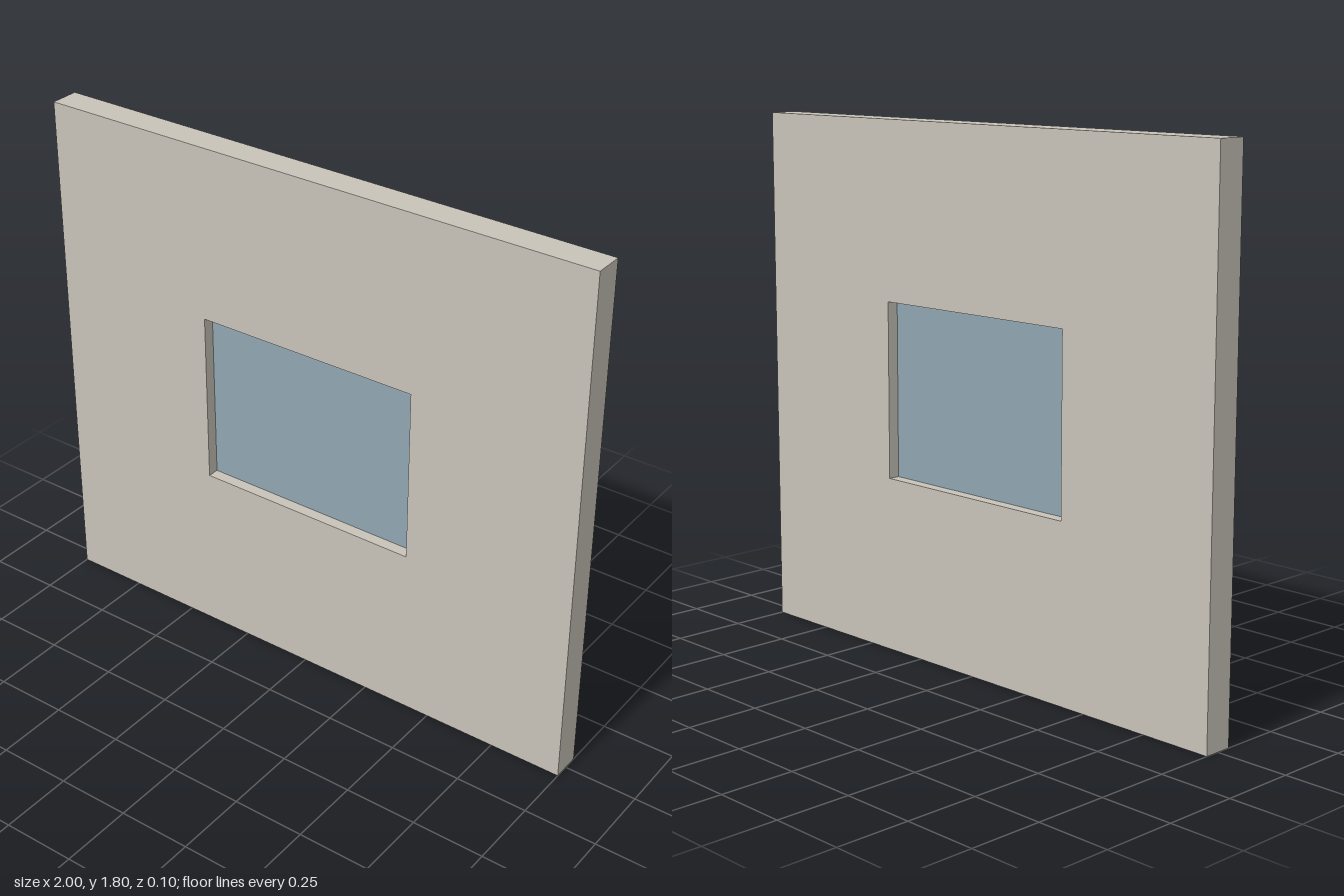
import * as THREE from 'three';

const WIDTH = 2, HEIGHT = 1.8, DEPTH = 0.1;
const OPENING = { x: 0, y: 0.9, width: 0.8, height: 0.6 };
const GLASS_DEPTH = 0.02;

// Traces a rectangle centred on (x, y) into a shape or path
function rectangle(path, x, y, width, height) {
  const w = width / 2, h = height / 2;
  path.moveTo(x - w, y - h);
  path.lineTo(x + w, y - h);
  path.lineTo(x + w, y + h);
  path.lineTo(x - w, y + h);
  path.closePath();
  return path;
}

export function createModel() {
  const model = new THREE.Group();
  model.name = 'wallWithWindow';

  const plaster = new THREE.MeshStandardMaterial({ color: 0xc9c3b9 });
  plaster.name = 'plaster';
  const glass = new THREE.MeshStandardMaterial({ color: 0x90a6b1 });
  glass.name = 'glass';

  // Wall slab with the window opening cut through it
  const { x, y, width, height } = OPENING;
  const outline = rectangle(new THREE.Shape(), 0, HEIGHT / 2, WIDTH, HEIGHT);
  outline.holes.push(rectangle(new THREE.Path(), x, y, width, height));
  const wallGeometry = new THREE.ExtrudeGeometry(outline, { depth: DEPTH, bevelEnabled: false });
  wallGeometry.translate(0, 0, -DEPTH / 2);
  const wall = new THREE.Mesh(wallGeometry, plaster);
  wall.name = 'wall';
  model.add(wall);

  // Pane set midway through the opening, recessed equally on both sides
  const pane = new THREE.Mesh(new THREE.BoxGeometry(width, height, GLASS_DEPTH), glass);
  pane.name = 'windowPane';
  pane.position.set(x, y, 0);
  model.add(pane);

  return model;
}
